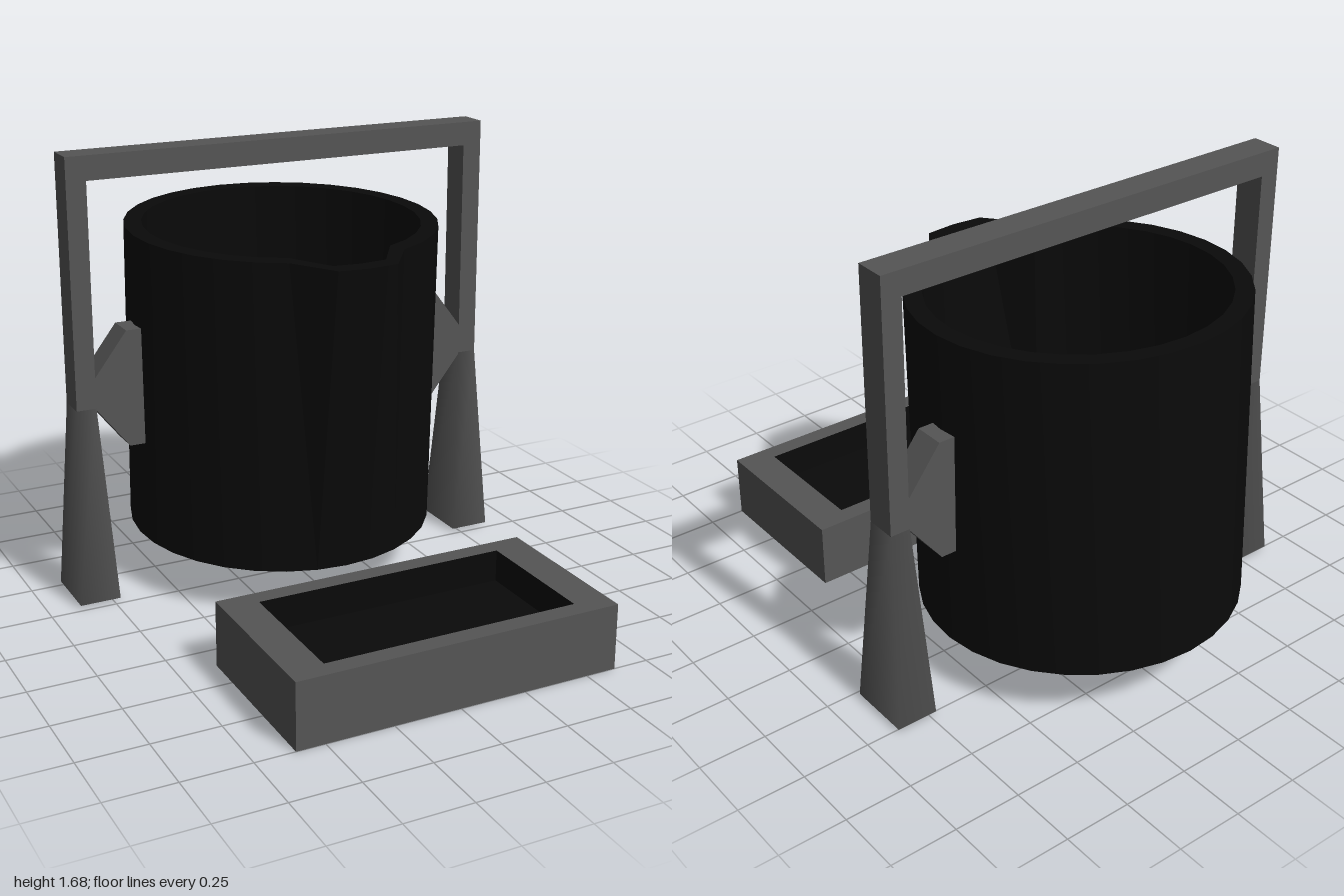
import * as THREE from 'three';
import { toCreasedNormals } from 'three/addons/utils/BufferGeometryUtils.js';

const steel = new THREE.MeshStandardMaterial({ color: 0x555555 });
const soot = new THREE.MeshStandardMaterial({ color: 0x0a0a0a });
const sootInside = new THREE.MeshStandardMaterial({ color: 0x0a0a0a, side: THREE.BackSide });

const FRAME_Z = -0.3925, FRAME_DEPTH = 0.115;

function add(parent, name, geometry, material, x = 0, y = 0, z = 0) {
  const mesh = new THREE.Mesh(geometry, material);
  mesh.name = name;
  mesh.position.set(x, y, z);
  parent.add(mesh);
  return mesh;
}

function polygon(points) {
  return new THREE.Shape(points.map(([x, y]) => new THREE.Vector2(x, y)));
}

// Flat outline in x/y given the depth of the frame
function slab(points) {
  const geo = new THREE.ExtrudeGeometry(polygon(points), { depth: FRAME_DEPTH, bevelEnabled: false });
  return geo.translate(0, 0, FRAME_Z - FRAME_DEPTH / 2);
}

// Box with its top face left out
function openBox(w, h, d) {
  const geo = new THREE.BoxGeometry(w, h, d);
  const index = Array.from(geo.index.array);
  index.splice(12, 6);
  geo.setIndex(index);
  geo.clearGroups();
  return geo;
}

// Round vessel whose three front columns are drawn out towards the rim as a spout
function vesselGeometry() {
  const R = 0.587, r = 0.522, H = 1.17, floor = 0.06, spout = 0.12;
  const profile = [[0, 0], [R, 0], [R, H], [r, H], [r, floor], [0, floor]]
    .map(([x, y]) => new THREE.Vector2(x, y));
  const geo = new THREE.LatheGeometry(profile, 32);
  const p = geo.attributes.position;
  for (let i = 0; i < p.count; i++) {
    const x = p.getX(i), y = p.getY(i), z = p.getZ(i);
    if (y > H - 0.01 && z > 0 && Math.abs(x) < 0.13) p.setZ(i, z + spout);
  }
  return toCreasedNormals(geo, 0.4);
}

export function createModel() {
  const model = new THREE.Group();
  model.name = 'pouringLadle';

  // Vessel, tipped slightly forward
  const vessel = add(model, 'vessel', vesselGeometry(), soot, 0, 0.2, -0.4125);
  vessel.rotation.x = 0.037;

  // Square-section hoop over the vessel
  add(model, 'hoop', slab([
    [-0.84, 0.75], [-0.84, 1.68], [0.84, 1.68], [0.84, 0.75],
    [0.765, 0.75], [0.765, 1.59], [-0.765, 1.59], [-0.765, 0.75],
  ]), steel);

  for (const [side, s] of [['left', 1], ['right', -1]]) {
    // Tapered leg below the hoop
    const leg = new THREE.CylinderGeometry(0.5 * Math.SQRT1_2 * 2, Math.SQRT1_2 * 2.08, 0.74, 4);
    leg.rotateY(Math.PI / 4).scale(0.075, 1, FRAME_DEPTH);
    add(model, side + 'Leg', leg, steel, s * 0.8025, 0.38, FRAME_Z);

    // Pivot bracket between vessel and hoop
    add(model, side + 'Bracket', slab([
      [0.57, 0.585], [0.64, 0.585], [0.766, 0.745], [0.766, 0.865], [0.64, 1.03], [0.57, 1.03],
    ].map(([x, y]) => [s * x, y])), steel);
  }

  // Mould tray: open outer box, flat rim and dark recess
  const tray = new THREE.Group();
  tray.name = 'tray';
  tray.position.set(0.005, 0, 0.6825);
  model.add(tray);
  const W = 1.22, D = 0.635, H = 0.245, w = 0.955, d = 0.495, depth = 0.12;
  const rect = (a, b) => [[-a / 2, -b / 2], [a / 2, -b / 2], [a / 2, b / 2], [-a / 2, b / 2]];
  const rim = polygon(rect(W, D));
  rim.holes.push(polygon(rect(w, d)));
  add(tray, 'trayBody', openBox(W, H, D), steel, 0, H / 2, 0);
  add(tray, 'trayRim', new THREE.ShapeGeometry(rim).rotateX(-Math.PI / 2), steel, 0, H, 0);
  add(tray, 'trayRecess', openBox(w, depth, d), sootInside, 0, H - depth / 2, 0);

  return model;
}
